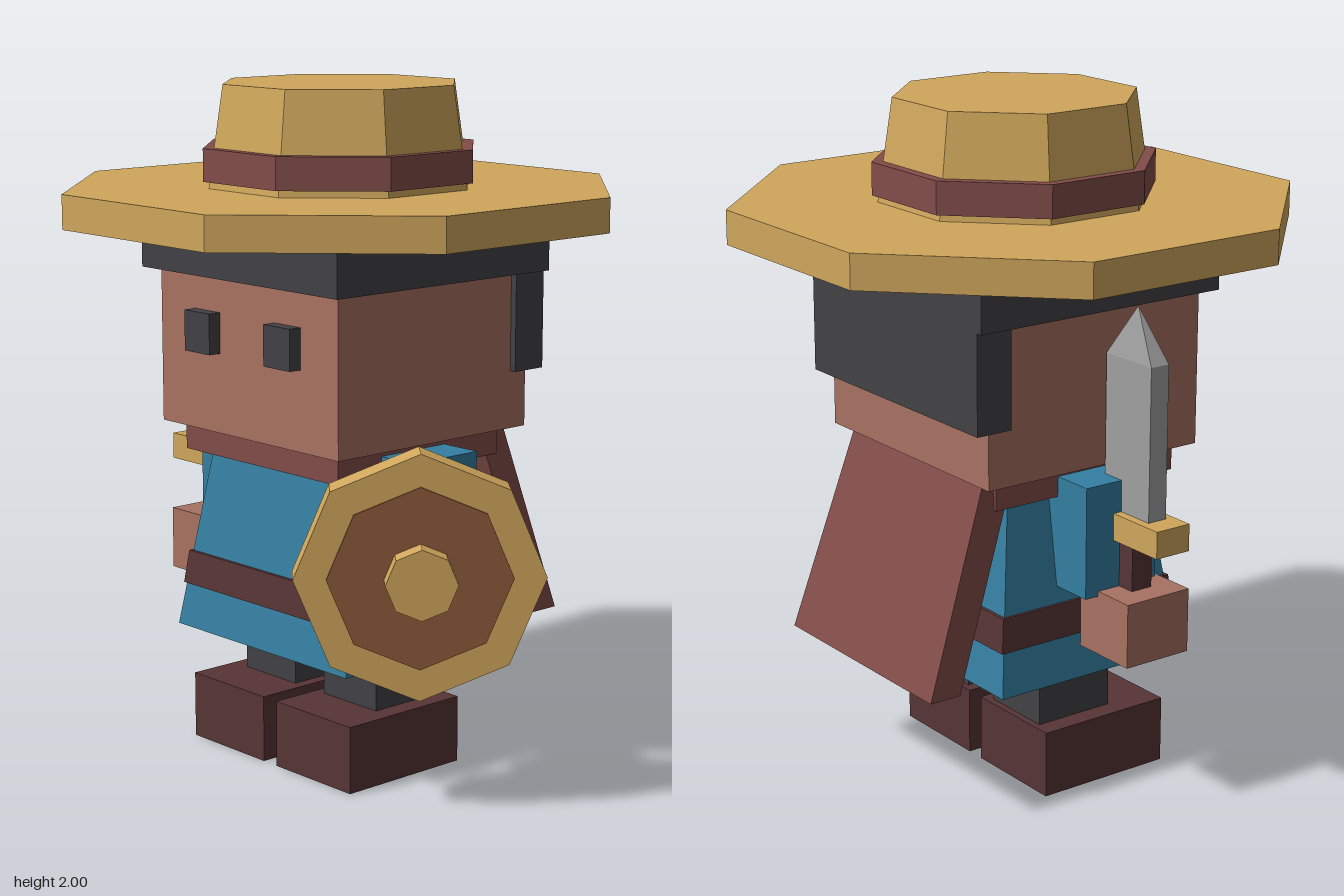
import * as THREE from 'three';

const paint = (name, color) => {
  const m = new THREE.MeshStandardMaterial({ color });
  m.name = name;
  return m;
};

export function createModel() {
  const straw = paint('straw gold', 0xd0a75c);
  const skin = paint('skin', 0xa87262);
  const dark = paint('charcoal', 0x424145);
  const blue = paint('tunic blue', 0x347fa1);
  const leather = paint('dark leather', 0x573435);
  const cloth = paint('maroon cloth', 0x824d4a);
  const steel = paint('steel', 0xa0a0a0);
  const wood = paint('shield brown', 0x8f593a);

  const model = new THREE.Group();
  model.name = 'adventurer';
  const CX = -0.05; // centre line of the body

  const add = (name, geometry, material, parent = model) => {
    const mesh = new THREE.Mesh(geometry, material);
    mesh.name = name;
    parent.add(mesh);
    return mesh;
  };

  // Box given by its limits on each axis
  const box = (name, mat, [x0, x1], [y0, y1], [z0, z1]) => {
    const g = new THREE.BoxGeometry(x1 - x0, y1 - y0, z1 - z0);
    g.translate((x0 + x1) / 2, (y0 + y1) / 2, (z0 + z1) / 2);
    return add(name, g, mat);
  };

  // Box whose bottom and top rectangles differ: [x centre, half width, z back, z front]
  const taper = (name, mat, y0, y1, bottom, top) => {
    const g = new THREE.BoxGeometry(2, 1, 1);
    const p = g.attributes.position;
    for (let i = 0; i < p.count; i++) {
      const up = p.getY(i) > 0;
      const [cx, hw, zb, zf] = up ? top : bottom;
      p.setXYZ(i, cx + hw * p.getX(i), up ? y1 : y0, p.getZ(i) > 0 ? zf : zb);
    }
    g.computeVertexNormals();
    return add(name, g, mat);
  };

  // Eight-sided ring of the hat, sized by the distance to its flat sides
  const octagon = (name, mat, y0, y1, bottom, top = bottom) => {
    const k = 1 / Math.cos(Math.PI / 8);
    const g = new THREE.CylinderGeometry(top * k, bottom * k, y1 - y0, 8, 1).toNonIndexed();
    g.rotateY(Math.PI / 8);
    g.translate(CX, (y0 + y1) / 2, 0);
    g.computeVertexNormals();
    return add(name, g, mat);
  };

  // Hat
  octagon('hatBrim', straw, 1.605, 1.705, 0.765);
  octagon('hatCrown', straw, 1.7, 2.0, 0.37, 0.328);
  octagon('hatBand', cloth, 1.725, 1.82, 0.384);

  // Head, hair and scarf
  box('head', skin, [-0.44, 0.34], [0.995, 1.6], [-0.377, 0.36]);
  box('hairTop', dark, [-0.48, 0.38], [1.455, 1.605], [-0.43, 0.4]);
  box('hairBack', dark, [-0.46, 0.36], [1.165, 1.46], [-0.429, -0.315]);
  box('scarf', cloth, [-0.388, 0.288], [0.91, 0.997], [-0.315, 0.315]);

  // Tunic, belt and cape
  taper('tunic', blue, 0.36, 0.93, [CX, 0.379, -0.322, 0.322], [CX, 0.292, -0.242, 0.242]);
  taper('belt', leather, 0.49, 0.59, [CX, 0.364, -0.312, 0.312], [CX, 0.352, -0.3, 0.3]);
  taper('cape', cloth, 0.4, 0.995, [CX, 0.36, -0.555, -0.455], [CX, 0.325, -0.35, -0.25]);

  // Paired parts, mirrored about the centre line
  for (const [side, s] of [['left', 1], ['right', -1]]) {
    const span = (a, b) => (s > 0 ? [CX + a, CX + b] : [CX - b, CX - a]);
    box(side + 'Eye', dark, span(0.12, 0.233), [1.23, 1.35], [0.35, 0.4]);
    box(side + 'Arm', blue, span(0.24, 0.47), [0.64, 0.97], [-0.1, 0.15]);
    box(side + 'Hand', skin, span(0.39, 0.603), [0.465, 0.655], [-0.055, 0.165]);
    box(side + 'Leg', dark, span(0.065, 0.293), [0.19, 0.4], [-0.127, 0.127]);
    box(side + 'Boot', leather, span(0.029, 0.353), [0, 0.2], [-0.148, 0.283]);
  }

  // Sword held upright in the right hand
  const SX = -0.543, SZ = 0.055;
  const tall = (name, mat, w, y0, y1, d) =>
    box(name, mat, [SX - w, SX + w], [y0, y1], [SZ - d, SZ + d]);
  tall('swordGrip', leather, 0.035, 0.65, 0.81, 0.035);
  tall('swordGuard', straw, 0.168, 0.797, 0.877, 0.058);
  tall('swordBlade', steel, 0.098, 0.87, 1.325, 0.031);
  const tip = new THREE.ConeGeometry(Math.SQRT1_2, 0.15, 4, 1, true).toNonIndexed();
  tip.rotateY(Math.PI / 4);
  tip.scale(0.196, 1, 0.062);
  tip.translate(SX, 1.4, SZ);
  tip.computeVertexNormals();
  add('swordTip', tip, steel);

  // Shield, turned outward from the left hand
  const shield = new THREE.Group();
  shield.name = 'shield';
  shield.position.set(0.552, 0.697, 0.252);
  shield.rotation.y = THREE.MathUtils.degToRad(50);
  model.add(shield);
  const disc = (name, mat, r, z0, z1) => {
    const g = new THREE.CylinderGeometry(r, r, z1 - z0, 8).toNonIndexed();
    g.rotateX(Math.PI / 2);
    g.translate(0, 0, (z0 + z1) / 2);
    g.computeVertexNormals();
    add(name, g, mat, shield);
  };
  disc('shieldRim', straw, 0.349, -0.05, 0.05);
  disc('shieldFace', wood, 0.258, 0.049, 0.055);
  disc('shieldBoss', straw, 0.1, 0.05, 0.12);

  return model;
}
